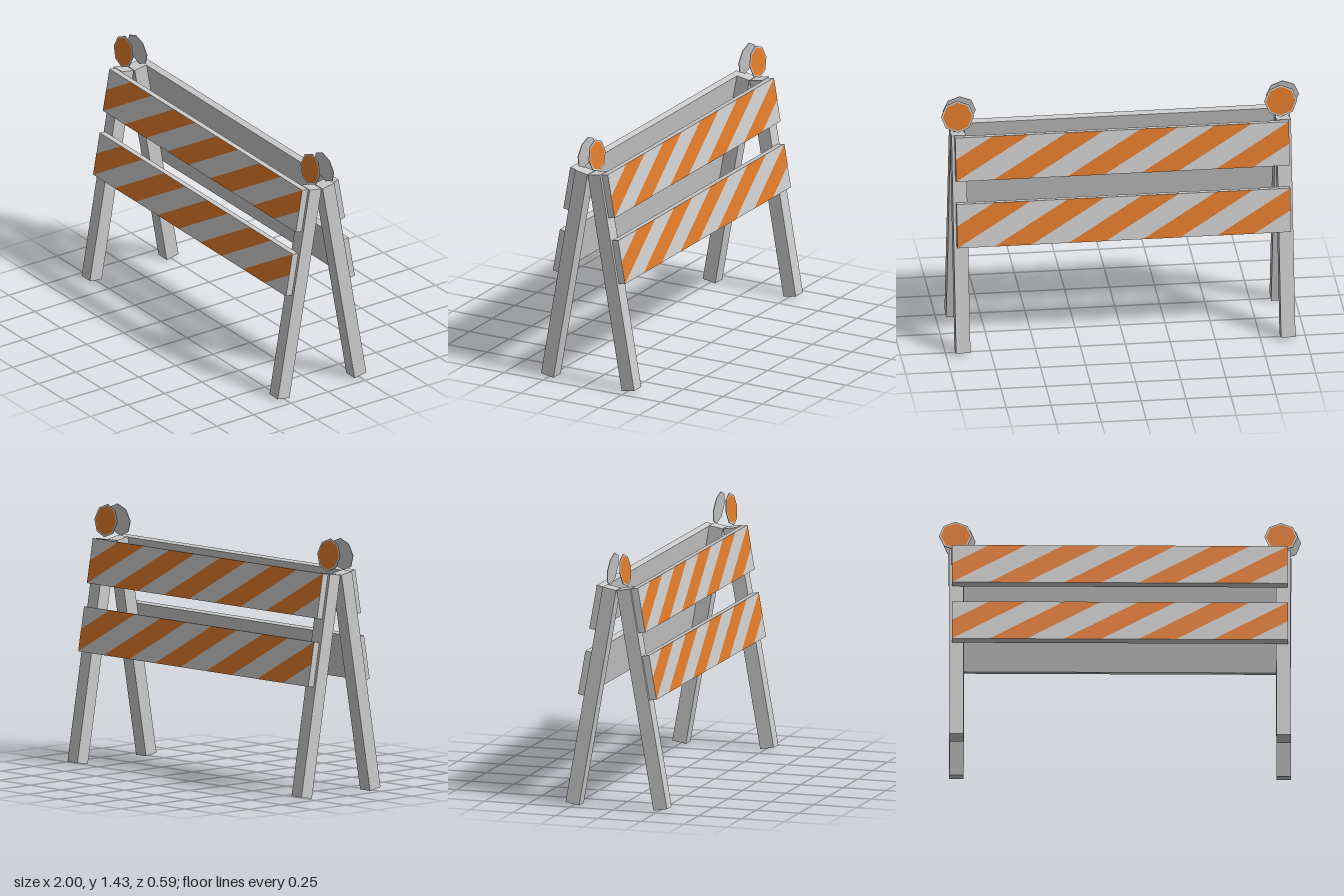
import * as THREE from 'three';

const grey = new THREE.MeshStandardMaterial({ color: 0xcccccc, flatShading: true });
const orange = new THREE.MeshStandardMaterial({ color: 0xe07a2a, flatShading: true });

const TILT = THREE.MathUtils.degToRad(10);
const LEG = 0.08, LEG_LENGTH = 1.245;
const BOARD_W = 1.855, BOARD_H = 0.25, BOARD_D = 0.04;
const SKIN = 0.001; // paint sits just proud of the surface

function mesh(name, geometry, material, x = 0, y = 0, z = 0) {
  const m = new THREE.Mesh(geometry, material);
  m.name = name;
  m.position.set(x, y, z);
  return m;
}

// Diagonal stripes: nine equal steps along the board, every second one painted
function stripeGeometry() {
  const u = BOARD_W / 9, h = BOARD_H;
  const shapes = [];
  for (let k = -1; k <= 7; k += 2) {
    let pts = [[k, 0], [k + 1, 0], [k + 3, 1], [k + 2, 1]];
    if (k === -1) pts = [[0, 0], [2, 1], [1, 1], [0, 0.5]];
    if (k === 7) pts = [[7, 0], [8, 0], [9, 0.5], [9, 1]];
    shapes.push(new THREE.Shape(pts.map(([x, y]) => new THREE.Vector2(x * u - BOARD_W / 2, (y - 0.5) * h))));
  }
  return new THREE.ShapeGeometry(shapes);
}

function createBoard(name, y) {
  const board = new THREE.Group();
  board.name = name;
  board.position.set(-0.0025, y + BOARD_H / 2, BOARD_D / 2);
  board.add(mesh('plank', new THREE.BoxGeometry(BOARD_W, BOARD_H, BOARD_D), grey));
  board.add(mesh('stripes', stripeGeometry(), orange, 0, 0, BOARD_D / 2 + SKIN));
  return board;
}

// Thin octagonal reflector with a grey rim and plain back
function createReflector(name, x) {
  const reflector = new THREE.Group();
  reflector.name = name;
  reflector.position.set(x, 1.336, 0.04);
  reflector.rotation.x = THREE.MathUtils.degToRad(-8);
  const disc = new THREE.CylinderGeometry(0.092, 0.092, 0.004, 8).rotateX(Math.PI / 2);
  reflector.add(mesh('disc', disc, grey));
  reflector.add(mesh('lens', new THREE.CircleGeometry(0.082, 8), orange, 0, 0, 0.002 + SKIN));
  return reflector;
}

// One leaning side: two legs, two striped boards and two reflectors
function createSide(name) {
  const side = new THREE.Group();
  side.name = name;
  const frame = new THREE.Group();
  frame.name = 'frame';
  frame.position.set(0, LEG * Math.sin(TILT), 0.297);
  frame.rotation.x = -TILT;
  for (const [legName, x] of [['rightLeg', -0.906], ['leftLeg', 0.901]]) {
    frame.add(mesh(legName, new THREE.BoxGeometry(LEG, LEG_LENGTH, LEG), grey, x, LEG_LENGTH / 2, -LEG / 2));
  }
  frame.add(createBoard('upperBoard', 0.992), createBoard('lowerBoard', 0.612));
  side.add(frame, createReflector('rightReflector', -0.908), createReflector('leftReflector', 0.889));
  return side;
}

export function createModel() {
  const model = new THREE.Group();
  model.name = 'roadBarricade';
  const front = createSide('frontSide');
  const back = createSide('backSide');
  back.rotation.y = Math.PI;
  model.add(front, back);
  return model;
}
